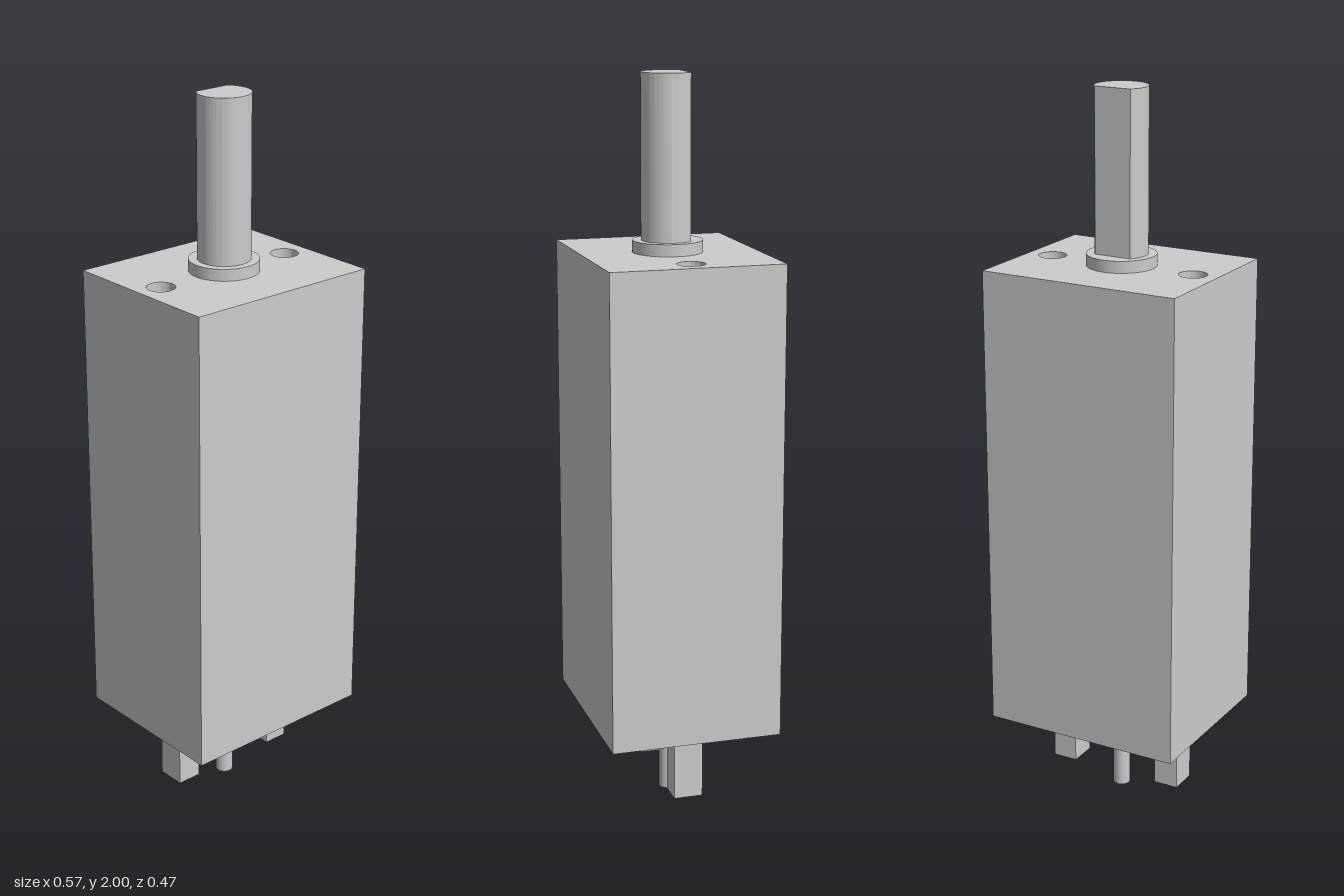
import * as THREE from 'three';
import { toCreasedNormals } from 'three/addons/utils/BufferGeometryUtils.js';

export function createModel() {
  const group = new THREE.Group();
  const metal = new THREE.MeshStandardMaterial({ color: 0xcccccc });
  metal.name = 'light grey metal';

  const add = (name, geometry, x = 0, y = 0, z = 0) => {
    const mesh = new THREE.Mesh(geometry, metal);
    mesh.name = name;
    mesh.position.set(x, y, z);
    group.add(mesh);
  };
  // Extrudes a plan outline upwards; the outline's +y becomes the back (-z)
  const extrudeUp = (shape, height) => toCreasedNormals(
    new THREE.ExtrudeGeometry(shape, { depth: height, bevelEnabled: false, curveSegments: 48 })
      .rotateX(-Math.PI / 2), 0.5);

  const W = 0.566, D = 0.47, bottom = 0.24, top = 1.53, holeDepth = 0.2;

  // Solid lower body, with the top block carrying two blind mounting holes
  const lowerHeight = top - holeDepth - bottom;
  add('lowerBody', new THREE.BoxGeometry(W, lowerHeight, D), 0, bottom + lowerHeight / 2);
  const plate = new THREE.Shape([
    new THREE.Vector2(-W / 2, -D / 2), new THREE.Vector2(W / 2, -D / 2),
    new THREE.Vector2(W / 2, D / 2), new THREE.Vector2(-W / 2, D / 2),
  ]);
  for (const side of [-1, 1]) {
    plate.holes.push(new THREE.Path().absarc(side * 0.212, 0, 0.038, 0, Math.PI * 2, true));
  }
  add('upperBody', extrudeUp(plate, holeDepth), 0, top - holeDepth);

  // Collar and D-shaped shaft with its flat at the back
  add('collar', new THREE.CylinderGeometry(0.094, 0.094, 0.032, 64), 0, top + 0.016);
  const r = 0.071, a = Math.asin(0.048 / r);
  const dShape = new THREE.Shape();
  dShape.absarc(0, 0, r, Math.PI - a, Math.PI * 2 + a, false);
  dShape.closePath();
  add('shaft', extrudeUp(dShape, 2 - top), 0, top);

  // Square terminals and central pin underneath
  for (const side of [-1, 1]) {
    add(side > 0 ? 'leftTerminal' : 'rightTerminal',
      new THREE.BoxGeometry(0.07, 0.19, 0.08), side * 0.165, 0.145);
  }
  add('centrePin', new THREE.CylinderGeometry(0.024, 0.024, bottom, 32), 0, bottom / 2);

  return group;
}
